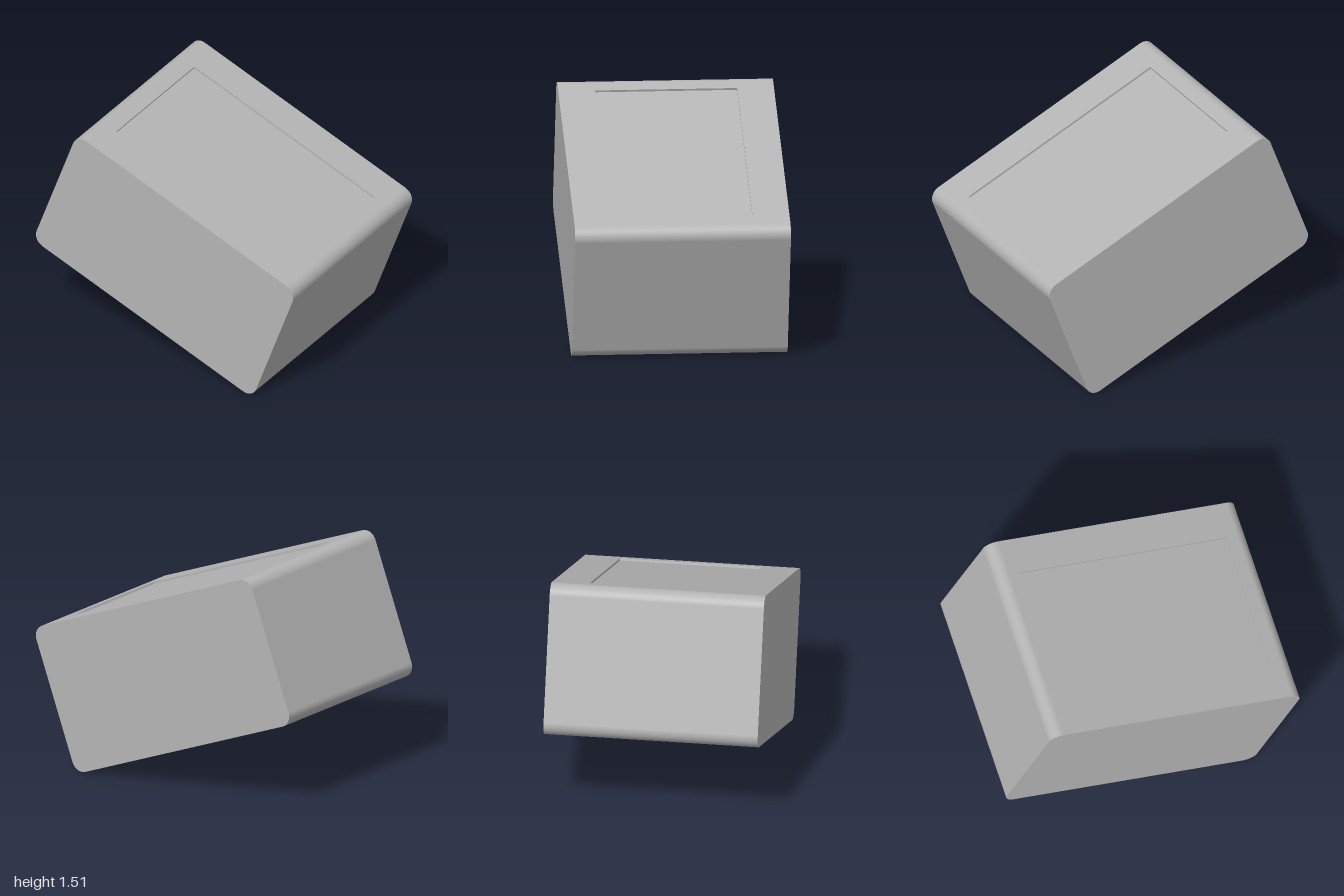
import * as THREE from 'three';

const W = 1.814, H = 0.994, D = 1.405, R = 0.08;      // block size and corner radius
const PW = 1.495, PD = 0.925, PH = 0.014;             // recessed panel: length, width, depth
const TILT = THREE.MathUtils.degToRad(-20);

// Clockwise rounded profile, from the top right edge round to the top left edge
function roundedProfile(steps = 12) {
  const points = [];
  const corners = [[1, 1, 90], [1, -1, 0], [-1, -1, -90], [-1, 1, -180]];
  for (const [sx, sy, start] of corners) {
    for (let i = 0; i <= steps; i++) {
      const a = THREE.MathUtils.degToRad(start - (90 * i) / steps);
      const nx = Math.cos(a), ny = Math.sin(a);
      points.push({ x: sx * (W / 2 - R) + R * nx, y: sy * (H / 2 - R) + R * ny, nx, ny });
    }
  }
  return points;
}

// Smooth band along the profile, left open at the top
function bandGeometry(profile) {
  const pos = [], nor = [], idx = [];
  profile.forEach((p, i) => {
    pos.push(p.x, p.y, -D / 2, p.x, p.y, D / 2);
    nor.push(p.nx, p.ny, 0, p.nx, p.ny, 0);
    if (i < profile.length - 1) {
      const a = i * 2;
      idx.push(a, a + 1, a + 2, a + 1, a + 3, a + 2);
    }
  });
  const g = new THREE.BufferGeometry();
  g.setAttribute('position', new THREE.Float32BufferAttribute(pos, 3));
  g.setAttribute('normal', new THREE.Float32BufferAttribute(nor, 3));
  g.setIndex(idx);
  return g;
}

function rectangle(target, w, h) {
  target.moveTo(-w / 2, -h / 2).lineTo(w / 2, -h / 2).lineTo(w / 2, h / 2).lineTo(-w / 2, h / 2).closePath();
  return target;
}

export function createModel() {
  const grey = new THREE.MeshStandardMaterial({ color: 0xb4b4b4 });
  grey.name = 'grey';

  const block = new THREE.Group();
  block.name = 'tiltedBlock';
  const add = (name, geometry, x = 0, y = 0, z = 0) => {
    const mesh = new THREE.Mesh(geometry, grey);
    mesh.name = name;
    mesh.position.set(x, y, z);
    block.add(mesh);
  };

  // Rounded sides and underside
  const profile = roundedProfile();
  add('outerBand', bandGeometry(profile));

  // Flat front and back
  const face = new THREE.Shape(profile.map((p) => new THREE.Vector2(p.x, p.y)));
  add('frontFace', new THREE.ShapeGeometry(face), 0, 0, D / 2);
  add('backFace', new THREE.ShapeGeometry(face).rotateY(Math.PI), 0, 0, -D / 2);

  // Top frame around the recess
  const frame = rectangle(new THREE.Shape(), W - 2 * R, D);
  frame.holes.push(rectangle(new THREE.Path(), PW, PD));
  add('topFrame', new THREE.ShapeGeometry(frame).rotateX(-Math.PI / 2), 0, H / 2, 0);

  // Recessed panel and its four shallow walls, facing inward
  add('recessedPanel', new THREE.PlaneGeometry(PW, PD).rotateX(-Math.PI / 2), 0, H / 2 - PH, 0);
  for (const s of [-1, 1]) {
    add('recessEndWall', new THREE.PlaneGeometry(PD, PH).rotateY((-s * Math.PI) / 2), (s * PW) / 2, H / 2 - PH / 2, 0);
    add('recessSideWall', new THREE.PlaneGeometry(PW, PH).rotateY(s > 0 ? Math.PI : 0), 0, H / 2 - PH / 2, (s * PD) / 2);
  }

  // Tip the block so that it stands on its lower right edge
  block.rotation.z = TILT;
  block.position.y = (W / 2 - R) * Math.sin(-TILT) + (H / 2 - R) * Math.cos(TILT) + R;

  const model = new THREE.Group();
  model.name = 'model';
  model.add(block);
  return model;
}
